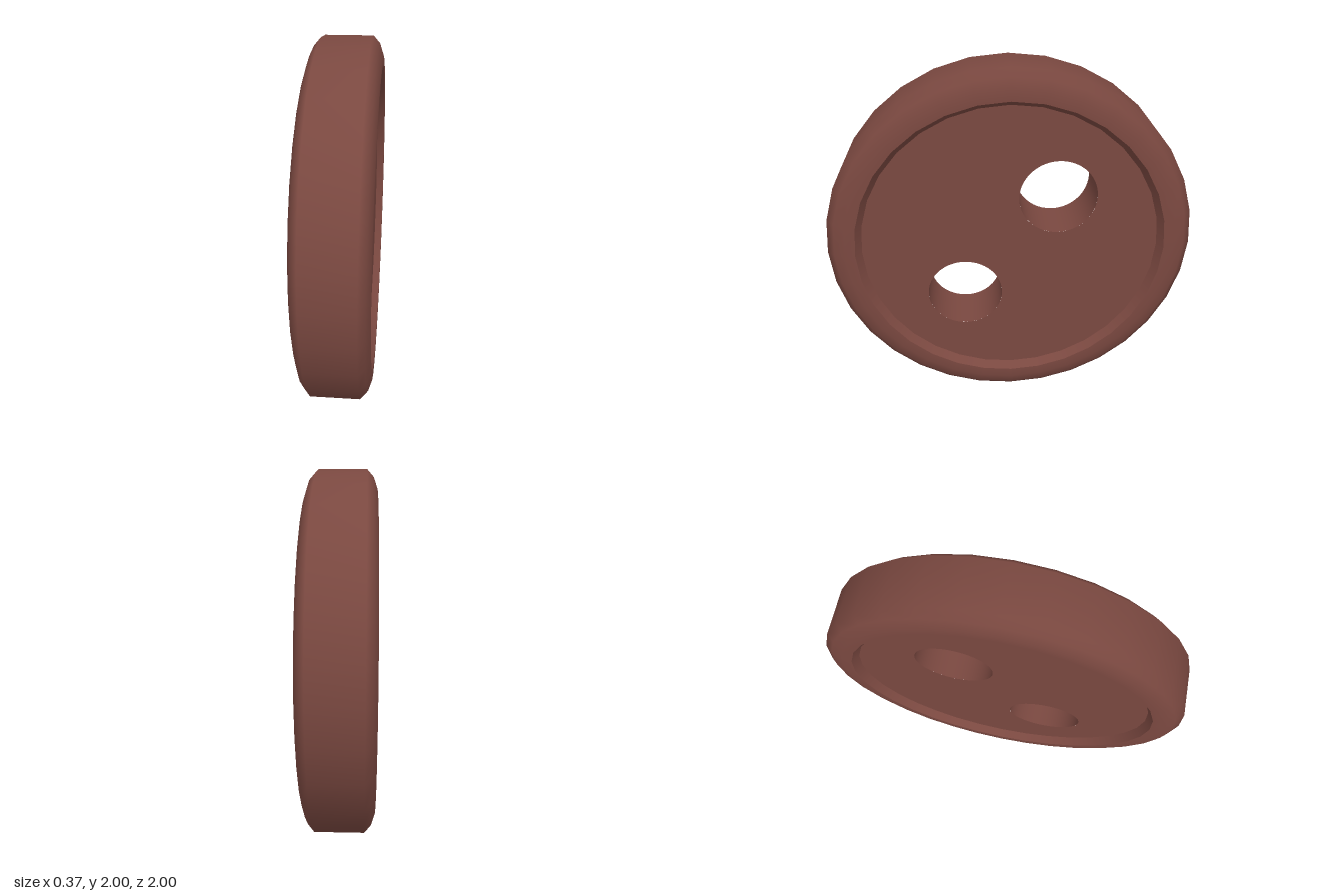
import * as THREE from 'three';

const SIDES = 32;        // facets around the rim
const FLOOR_R = 0.815;   // radius of the recessed disc
const FLOOR_X = 0.14;    // half thickness of the recessed disc
const HOLE_R = 0.21;
const HOLES = [{ y: 0.3, z: -0.255 }, { y: -0.295, z: 0.26 }];

export function createModel() {
  const button = new THREE.Group();
  button.name = 'button';
  const material = new THREE.MeshStandardMaterial({ color: 0x7a4840 });

  const add = (name, geometry, y = 0, z = 0) => {
    const mesh = new THREE.Mesh(geometry, material);
    mesh.name = name;
    mesh.position.set(0, 1 + y, z);
    button.add(mesh);
  };

  // Revolve [radius, height] points, then lay the axis along x
  const revolve = (points, sides = SIDES) =>
    new THREE.LatheGeometry(points.map(([r, h]) => new THREE.Vector2(r, h)), sides)
      .rotateZ(-Math.PI / 2);

  // Rounded outer rim
  const edge = [[0.845, 0.185], [0.9, 0.185], [0.96, 0.165], [1, 0.13]];
  const mirrored = edge.map(([r, h]) => [r, -h]);
  add('rim', revolve([...mirrored, ...edge.reverse()]));

  // Sloped steps from the rim down to the recessed disc
  add('rightStep', revolve([[FLOOR_R, -FLOOR_X], [0.845, -0.185]]));
  add('leftStep', revolve([[0.845, 0.185], [FLOOR_R, FLOOR_X]]));

  // Recessed disc faces, pierced by the thread holes
  for (const side of [1, -1]) {
    const outline = [];
    for (let i = 0; i < SIDES; i++) {
      const a = (i / SIDES) * Math.PI * 2;
      outline.push(new THREE.Vector2(FLOOR_R * Math.cos(a), FLOOR_R * Math.sin(a)));
    }
    const shape = new THREE.Shape(outline);
    for (const { y, z } of HOLES) {
      shape.holes.push(new THREE.Path().absarc(-side * z, y, HOLE_R, 0, Math.PI * 2, true));
    }
    const face = new THREE.ShapeGeometry(shape, 48)
      .rotateY(side * Math.PI / 2)
      .translate(side * FLOOR_X, 0, 0);
    add(side > 0 ? 'leftFace' : 'rightFace', face);
  }

  // Inward-facing walls of the thread holes
  HOLES.forEach(({ y, z }, i) =>
    add(`threadHole${i + 1}`, revolve([[HOLE_R, FLOOR_X], [HOLE_R, -FLOOR_X]], 48), y, z));

  return button;
}
